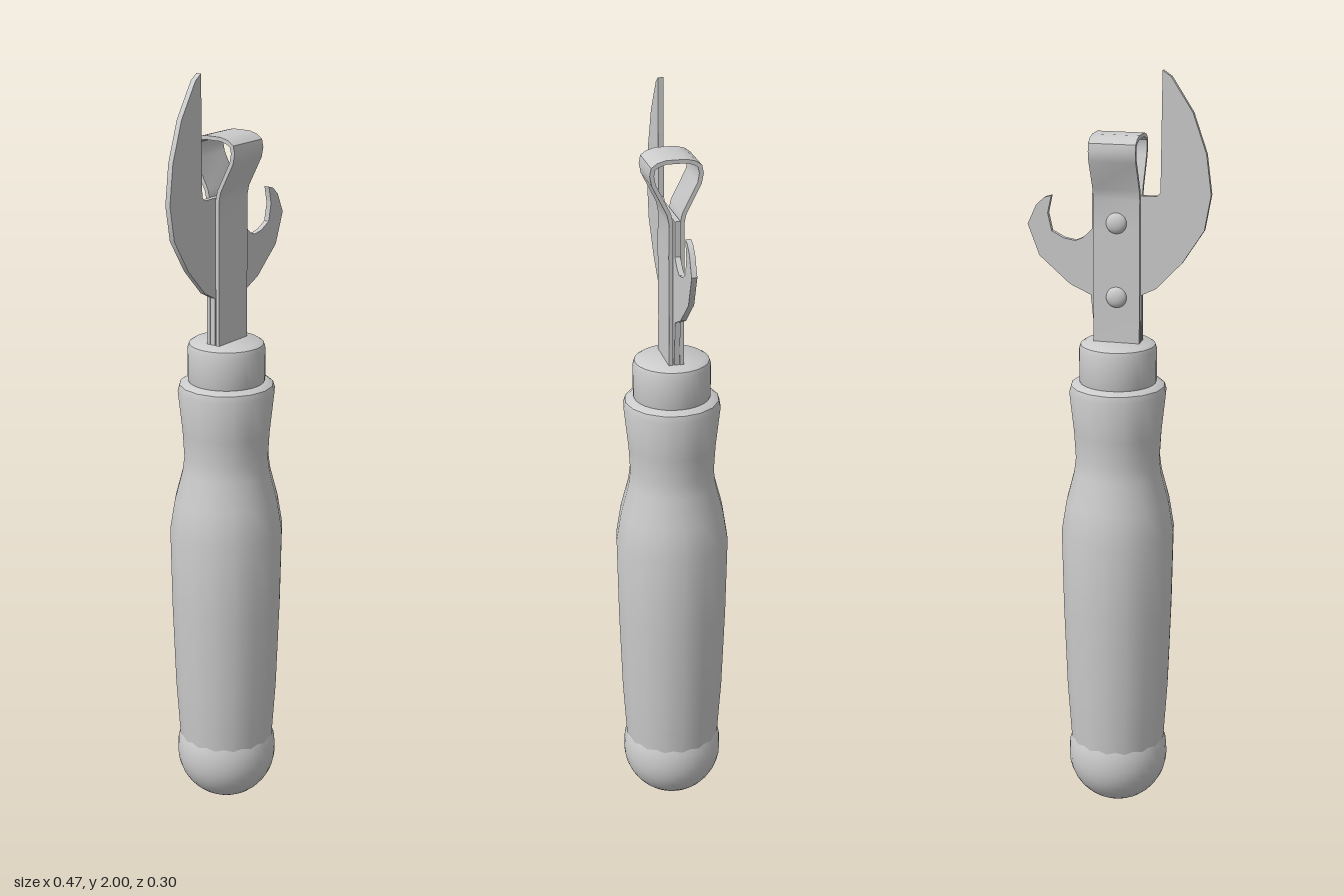
import * as THREE from 'three';
import { toCreasedNormals } from 'three/addons/utils/BufferGeometryUtils.js';

const material = new THREE.MeshStandardMaterial({ color: 0xcccccc });
const v2 = (pts) => pts.map(([x, y]) => new THREE.Vector2(x, y));

export function createModel() {
  const group = new THREE.Group();
  const add = (name, geometry) => {
    const mesh = new THREE.Mesh(geometry, material);
    mesh.name = name;
    group.add(mesh);
    return mesh;
  };
  const turned = (pts, sides) => toCreasedNormals(new THREE.LatheGeometry(v2(pts), sides), 0.6);

  // Wooden grip, narrowing below the collar
  add('handle', turned([
    [0, 0.12], [0.122, 0.14], [0.128, 0.2], [0.138, 0.35], [0.146, 0.58], [0.15, 0.8], [0.137, 0.88],
    [0.116, 0.96], [0.111, 1.0], [0.115, 1.07], [0.127, 1.18], [0.122, 1.197], [0.11, 1.205], [0, 1.205],
  ], 16));

  // Rounded butt of the handle
  const dome = [];
  for (let i = 0; i <= 10; i++) {
    const a = (i / 10) * Math.PI / 2;
    dome.push([0.134 * Math.sin(a), 0.14 - 0.135 * Math.cos(a)]);
  }
  dome.push([0.132, 0.175], [0.125, 0.195], [0, 0.195]);
  add('handleButt', turned(dome, 32));

  // Metal collar
  add('collar', turned([
    [0, 1.2], [0.097, 1.2], [0.1, 1.21], [0.1, 1.293], [0.096, 1.305], [0.085, 1.312], [0, 1.312],
  ], 32));

  // Flat plate: can blade on one side, bottle hook on the other, tang below
  const blade = new THREE.Shape(v2([
    [-0.113, 2.0], [-0.135, 1.985], [-0.19, 1.9], [-0.225, 1.8], [-0.238, 1.7], [-0.222, 1.61],
    [-0.167, 1.525], [-0.1, 1.455], [-0.06, 1.435], [-0.06, 1.28], [0.055, 1.28], [0.07, 1.43],
    [0.125, 1.455], [0.205, 1.525], [0.235, 1.605], [0.212, 1.655], [0.19, 1.675], [0.172, 1.68],
    [0.182, 1.635], [0.172, 1.59], [0.14, 1.573], [0.11, 1.568], [0.09, 1.577], [0.066, 1.6],
    [0.066, 1.69], [-0.1, 1.69], [-0.11, 1.7],
  ]));
  const plate = new THREE.ExtrudeGeometry(blade, { depth: 0.014, bevelEnabled: false });
  plate.translate(0, 0, -0.006);
  add('blade', toCreasedNormals(plate, 0.5));

  // Bent strap: both legs clamp the blade and open into a loop on top
  const t = 0.01;
  const outer = [
    [0.02, 1.28], [0.019, 1.4], [0.02, 1.6], [0.019, 1.68], [0.024, 1.705], [0.062, 1.78],
    [0.067, 1.805], [0.063, 1.825], [0.048, 1.836], [0.025, 1.842],
  ];
  const inner = [
    [0.009, 1.28], [0.009, 1.4], [0.009, 1.6], [0.009, 1.685], [0.014, 1.708], [0.052, 1.783],
    [0.056, 1.805], [0.053, 1.82], [0.044, 1.826], [0.025, 1.842 - t],
  ];
  const mirrored = (pts) => pts.map(([z, y]) => [-z, y]).reverse();
  const section = new THREE.Shape(v2([
    ...outer, ...mirrored(outer), ...mirrored(inner).reverse(), ...inner.slice().reverse(),
  ]));
  const strap = new THREE.ExtrudeGeometry(section, { depth: 0.12, bevelEnabled: false });
  strap.translate(0, 0, -0.06);
  strap.rotateY(-Math.PI / 2); // profile x becomes z
  strap.translate(0, 0, 0.002);
  add('strap', toCreasedNormals(strap, 0.7));

  // Domed rivet heads on the back leg
  for (const y of [1.43, 1.62]) {
    const rivet = add('rivet', new THREE.SphereGeometry(0.027, 20, 8, 0, Math.PI * 2, 0, Math.PI / 2));
    rivet.rotation.x = -Math.PI / 2;
    rivet.scale.y = 0.55;
    rivet.position.set(0, y, -0.0165);
  }
  return group;
}
